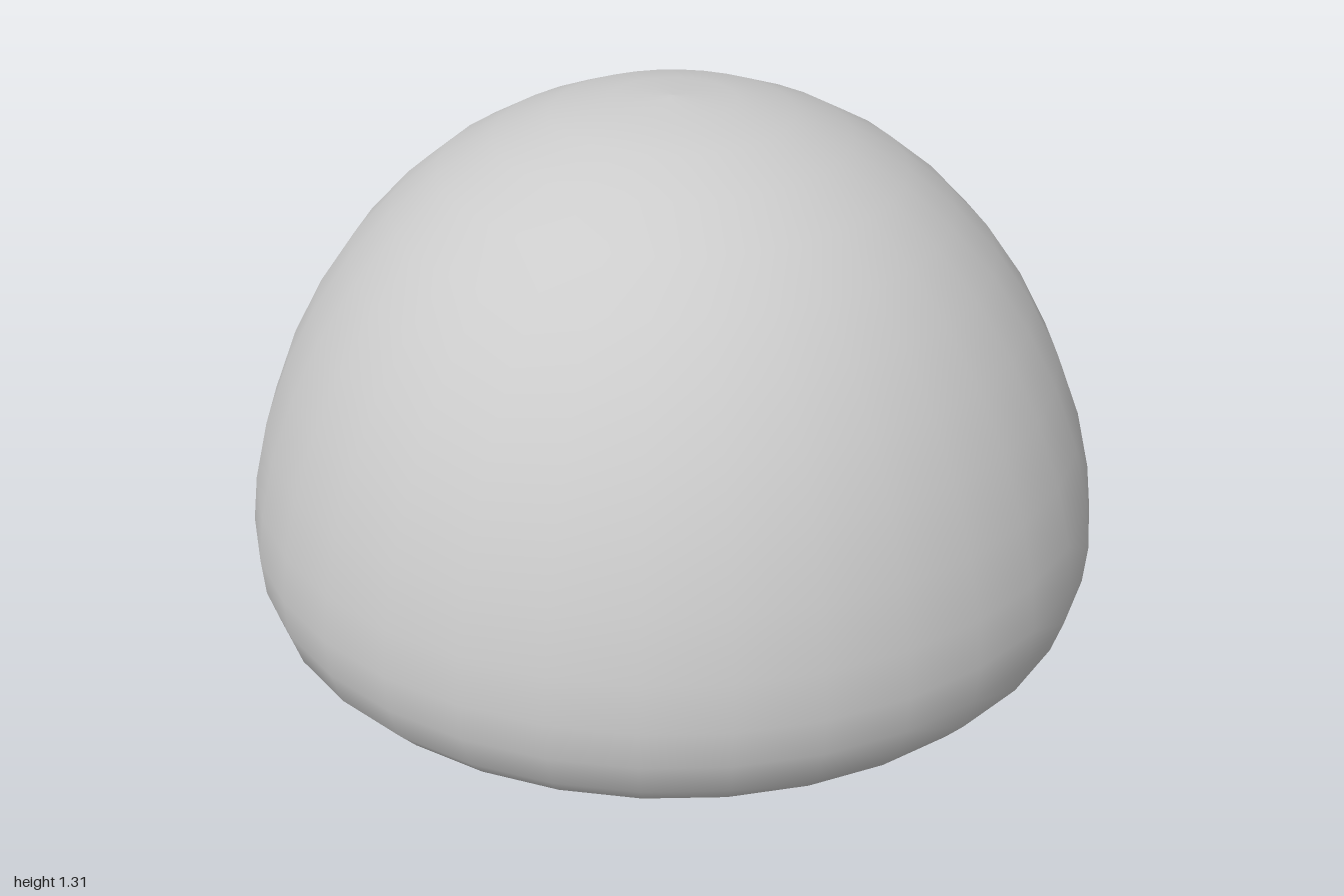
import * as THREE from 'three';

const material = new THREE.MeshStandardMaterial({ color: 0xcccccc });

export function createModel() {
  const model = new THREE.Group();
  model.name = 'domeCreature';

  // Soft dome body: flat underside, tight rounded rim, domed top
  const profile = [
    [0, 0.003], [0.35, 0.004], [0.56, 0.006], [0.68, 0.01], [0.786, 0.02],
    [0.86, 0.043], [0.914, 0.077], [0.963, 0.13], [0.99, 0.21], [0.998, 0.3],
    [0.985, 0.41], [0.952, 0.55], [0.895, 0.7], [0.825, 0.834], [0.738, 0.96],
    [0.64, 1.065], [0.53, 1.155], [0.406, 1.225], [0.275, 1.278], [0.144, 1.306],
    [0, 1.315],
  ].map(([r, y]) => new THREE.Vector2(r, y));
  const body = new THREE.Mesh(new THREE.LatheGeometry(profile, 32), material);
  body.name = 'body';
  model.add(body);

  // Two flattened oval eyes, half sunk into the sloping back surface
  const eyeGeometry = new THREE.SphereGeometry(1, 32, 20);
  for (const side of [1, -1]) {
    const eye = new THREE.Mesh(eyeGeometry, material);
    eye.name = side > 0 ? 'leftEye' : 'rightEye';
    eye.scale.set(0.066, 0.152, 0.034);
    eye.position.set(0.315 * side, 0.752, -0.807);
    eye.rotation.set(0.515, -0.14 * side, 0, 'YXZ');
    model.add(eye);
  }

  return model;
}
